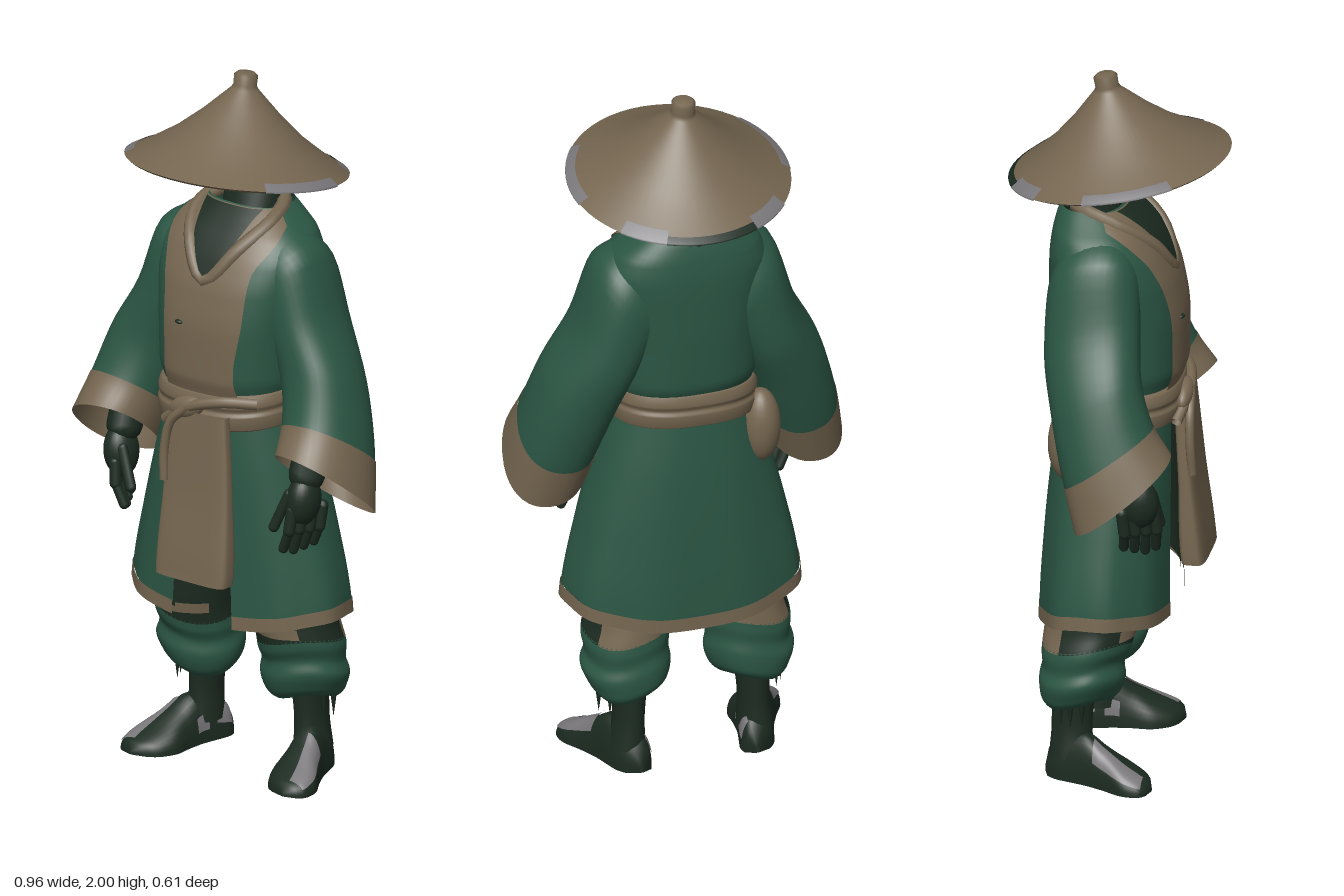
import * as THREE from 'three';
import { ParametricGeometry } from 'three/addons/geometries/ParametricGeometry.js';

const paint = (name, color) => {
  const m = new THREE.MeshStandardMaterial({ color, side: THREE.DoubleSide });
  m.name = name;
  return m;
};
const V = (a) => new THREE.Vector3(...a);
const spow = (s, p) => Math.sign(s) * Math.abs(s) ** p;

// Smoothly interpolates a table of rows keyed by its first column, without overshoot
function pick(rows, k) {
  let i = 0;
  while (i < rows.length - 2 && k > rows[i + 1][0]) i++;
  const h = rows[i + 1][0] - rows[i][0];
  const f = THREE.MathUtils.clamp((k - rows[i][0]) / h, 0, 1);
  const secant = (n, j) => (rows[n + 1][j] - rows[n][j]) / (rows[n + 1][0] - rows[n][0]);
  const slope = (n, j) => {
    if (n === 0) return secant(0, j);
    if (n === rows.length - 1) return secant(n - 1, j);
    const a = secant(n - 1, j), b = secant(n, j);
    return a * b > 0 ? (2 * a * b) / (a + b) : 0;
  };
  return rows[i].map((a, j) => {
    const b = rows[i + 1][j], m = slope(i, j) * h, n = slope(i + 1, j) * h;
    return a + f * (m + f * (3 * (b - a) - 2 * m - n + f * (m + n - 2 * (b - a))));
  });
}

function add(parent, name, geometry, mat, pos = [0, 0, 0]) {
  const mesh = new THREE.Mesh(geometry, mat);
  mesh.name = name;
  mesh.position.set(...pos);
  parent.add(mesh);
  return mesh;
}

const surface = (parent, name, mat, fn, nu = 32, nv = 16) =>
  add(parent, name, new ParametricGeometry((u, v, t) => t.set(...fn(u, v)), nu, nv), mat);

// Stack of ovals, rows of [y, centre x, centre z, half width, half depth]; angle 0 faces front
function loft(parent, name, mat, rows, y0, y1, { a0 = 0, a1 = Math.PI * 2, p = 1, warp = () => [1, 0], nv = 16 } = {}) {
  return surface(parent, name, mat, (u, v) => {
    const a = a0 + (a1 - a0) * u;
    const [y, cx, cz, w, d] = pick(rows, y0 + (y1 - y0) * v);
    const [s, dy] = warp(a, y);
    return [cx + w * s * spow(Math.sin(a), p), y + dy, cz + d * s * spow(Math.cos(a), p)];
  }, 56, nv);
}

const tube = (parent, name, mat, pts, r, closed = false) =>
  add(parent, name, new THREE.TubeGeometry(new THREE.CatmullRomCurve3(pts.map(V), closed), 32, r, 8, closed), mat);

function limb(parent, name, mat, from, to, r) {
  const a = V(from), b = V(to), dir = b.clone().sub(a);
  const mesh = add(parent, name, new THREE.CapsuleGeometry(r, dir.length(), 4, 10), mat);
  mesh.position.copy(a).add(b).multiplyScalar(0.5);
  mesh.quaternion.setFromUnitVectors(new THREE.Vector3(0, 1, 0), dir.normalize());
  return mesh;
}

function ball(parent, name, mat, pos, scale) {
  const mesh = add(parent, name, new THREE.SphereGeometry(1, 24, 16), mat, pos);
  mesh.scale.set(...scale);
  return mesh;
}

export function createModel() {
  const model = new THREE.Group();
  model.name = 'robedTraveller';
  const green = paint('greenCloth', 0x2b5644);
  const tan = paint('tanCloth', 0x756650);
  const dark = paint('darkSkin', 0x1c2b21);
  const grey = paint('paleGrey', 0x7a787b);

  // Upper robe
  const torso = [
    [1.02, 0, 0, 0.19, 0.15], [1.12, 0, 0, 0.195, 0.162], [1.18, 0, -0.003, 0.21, 0.18],
    [1.3, 0, -0.005, 0.215, 0.182], [1.42, 0, -0.015, 0.228, 0.172], [1.5, 0, -0.03, 0.235, 0.155],
    [1.56, 0, -0.045, 0.212, 0.133], [1.61, 0, -0.062, 0.155, 0.104], [1.66, 0, -0.08, 0.09, 0.065],
  ];
  const P = 0.8;
  loft(model, 'upperRobe', green, torso, 1.02, 1.635, { p: P, nv: 40 });

  // Cloth laid on the chest, rows of [y, right edge, left edge]
  const frontZ = (x, y) => {
    const [, , cz, w, d] = pick(torso, y);
    return cz + d * (1 - Math.min(1, Math.abs(x / w)) ** (2 / P)) ** (P / 2);
  };
  const chestPatch = (name, mat, rows, lift) => surface(model, name, mat, (u, v) => {
    const y0 = rows[0][0], y = y0 + (rows.at(-1)[0] - y0) * v;
    const [, l, r] = pick(rows, y), w = pick(torso, y)[3] * 0.97;
    const x = THREE.MathUtils.clamp(l + (r - l) * u, -w, w);
    return [x, y, frontZ(x, y) + lift];
  }, 24, 32);
  chestPatch('frontPanel', tan, [[1.05, -0.12, 0.13], [1.2, -0.12, 0.115], [1.35, -0.125, 0.135],
    [1.48, -0.15, 0.14], [1.57, -0.175, 0.175], [1.635, -0.14, 0.14]], 0.009);
  chestPatch('bareChest', dark, [[1.46, -0.008, 0.008], [1.54, -0.062, 0.062], [1.635, -0.095, 0.095]], 0.015);
  tube(model, 'collar', tan, [[0, 1.448, 0.145], [0.08, 1.54, 0.1], [0.122, 1.605, 0.01], [0.095, 1.635, -0.09],
    [0, 1.64, -0.14], [-0.095, 1.635, -0.09], [-0.122, 1.605, 0.01], [-0.08, 1.54, 0.1]], 0.021, true);
  ball(model, 'chestClasp', dark, [-0.06, 1.325, 0.18], [0.013, 0.006, 0.01]);

  // Skirt, open at the front, with a lining and a hem
  const skirt = [[0.44, 0, -0.022, 0.338, 0.186], [0.5, 0, -0.022, 0.332, 0.185], [0.7, 0, -0.018, 0.292, 0.179],
    [0.9, 0, -0.01, 0.243, 0.17], [1.08, 0, 0, 0.195, 0.155]];
  const open = { a0: 0.26, a1: Math.PI * 2 - 0.26, p: 0.88 };
  const folds = (scale) => (a, y) => {
    const low = THREE.MathUtils.clamp((1.08 - y) / 0.6, 0, 1);
    return [scale * (1 + 0.012 * low * Math.cos(9 * a)), low * (0.045 * Math.sin(a) ** 2 + 0.008 * Math.cos(a))];
  };
  loft(model, 'skirt', green, skirt, 0.482, 1.08, { ...open, warp: folds(1) });
  loft(model, 'skirtHem', tan, skirt, 0.445, 0.484, { ...open, warp: folds(1.008), nv: 4 });
  loft(model, 'skirtLining', dark, skirt, 0.465, 1.08, { ...open, warp: folds(0.965) });

  // Belt, knot, hanging ends and pouch
  const belt = [[1.03, 0, 0, 0.185, 0.15], [1.045, 0, 0, 0.208, 0.178], [1.08, 0, 0, 0.212, 0.184],
    [1.095, 0, 0, 0.207, 0.178], [1.11, 0, 0, 0.211, 0.183], [1.135, 0, 0, 0.206, 0.178], [1.15, 0, 0, 0.185, 0.155]];
  loft(model, 'belt', tan, belt, 1.03, 1.15, { p: P, warp: (a) => [1, 0.01 * Math.sin(a) - 0.01 * Math.cos(a)], nv: 24 });
  const knot = ball(model, 'beltKnot', tan, [-0.03, 1.085, 0.185], [0.06, 0.032, 0.024]);
  knot.rotation.z = 0.35;
  tube(model, 'beltTie', tan, [[-0.02, 1.09, 0.2], [-0.07, 1.04, 0.206], [-0.088, 0.96, 0.21], [-0.085, 0.87, 0.215]], 0.013);
  tube(model, 'beltTwist', tan, [[0.17, 1.12, 0.13], [0.08, 1.12, 0.178], [-0.02, 1.09, 0.195], [-0.11, 1.03, 0.175]], 0.016);
  const sash = [[0.605, 0.018, 0.215, 0.118, 0.035], [0.63, 0.018, 0.212, 0.12, 0.035],
    [0.85, 0.016, 0.195, 0.11, 0.024], [1.08, 0.012, 0.178, 0.092, 0.02]];
  loft(model, 'hangingSash', tan, sash, 0.605, 1.08, { p: 0.45 });
  loft(model, 'sashEnd', tan, [[0.604, 0.018, 0.215, 0.01, 0.004], [0.606, 0.018, 0.215, 0.118, 0.035]], 0.604, 0.606, { p: 0.45, nv: 2 });
  ball(model, 'hipPouch', tan, [-0.2, 0.985, -0.105], [0.055, 0.11, 0.058]);

  // Sleeve rings: [t, centre, outward half axis, forward half axis]
  const sleeve = [
    [0, 0.1, 1.485, -0.035, 0.05, 0.115, 0, 0, 0, 0.1],
    [1, 0.17, 1.425, -0.04, 0.08, 0.11, 0, 0, 0.02, 0.128],
    [2, 0.23, 1.29, -0.035, 0.085, 0.06, 0, 0, 0.03, 0.132],
    [3, 0.295, 1.15, -0.01, 0.105, 0.035, 0.005, -0.01, 0.055, 0.122],
    [4, 0.336, 1.012, 0.03, 0.112, 0.018, 0.014, -0.028, 0.085, 0.118],
    [5, 0.358, 0.915, 0.073, 0.117, -0.002, 0.016, -0.03, 0.105, 0.126],
  ];
  const sleeveLoft = (parent, name, mat, t0, t1, s) => surface(parent, name, mat, (u, v) => {
    const r = pick(sleeve, t0 + (t1 - t0) * v), a = u * Math.PI * 2;
    const c = spow(Math.cos(a), 0.9) * s, n = spow(Math.sin(a), 0.9) * s;
    return [0, 1, 2].map((i) => r[1 + i] + c * r[4 + i] + n * r[7 + i]);
  }, 40, 20);

  // Trouser leg and foot tables
  const leg = [[0.22, 0.175, -0.09, 0.05, 0.05], [0.225, 0.175, -0.085, 0.085, 0.085], [0.255, 0.175, -0.078, 0.112, 0.11],
    [0.3, 0.178, -0.072, 0.125, 0.118], [0.34, 0.175, -0.07, 0.116, 0.112], [0.38, 0.175, -0.062, 0.121, 0.122],
    [0.45, 0.165, -0.052, 0.113, 0.125], [0.62, 0.14, -0.03, 0.115, 0.115]];
  const crease = (a) => [1 + 0.012 * Math.cos(5 * a), 0.014 * Math.sin(2 * a)];
  const foot = [[-0.175, 0.005, 0.02], [-0.165, 0.035, 0.07], [-0.13, 0.05, 0.11], [-0.06, 0.052, 0.135],
    [0, 0.062, 0.1], [0.06, 0.077, 0.065], [0.1, 0.068, 0.045], [0.125, 0.042, 0.03], [0.135, 0.004, 0.008]];
  const footSurface = (parent, name, mat, z0, z1, a0, a1, s) => surface(parent, name, mat, (u, v) => {
    const [z, w, h] = pick(foot, z0 + (z1 - z0) * v), a = a0 + (a1 - a0) * u;
    return [0.19 + (z + 0.1) * 0.3 + s * w * spow(Math.cos(a), 0.8), Math.max(0, s * h * spow(Math.sin(a), 0.8)), z];
  }, 32, 28);

  for (const side of [1, -1]) {
    const half = new THREE.Group();
    half.name = side > 0 ? 'leftLimbs' : 'rightLimbs';
    half.scale.x = side;
    model.add(half);

    // Sleeve with broad cuff
    sleeveLoft(half, 'sleeve', green, 0, 4.05, 1);
    sleeveLoft(half, 'sleeveCuff', tan, 4, 5, 1.015);
    sleeveLoft(half, 'sleeveLining', dark, 3, 4.1, 0.96);

    // Forearm and hand
    limb(half, 'forearm', dark, [0.315, 1.12, 0.03], [0.312, 0.94, 0.095], 0.05);
    const palm = ball(half, 'palm', dark, [0.312, 0.87, 0.11], [0.046, 0.075, 0.054]);
    palm.rotation.z = -0.1;
    for (let i = 0; i < 4; i++) {
      const z = 0.068 + i * 0.027, x = 0.345 - i * 0.014;
      limb(half, 'fingerBase', dark, [x, 0.85, z], [x - 0.006, 0.79, z + 0.006], 0.017);
      limb(half, 'fingerTip', dark, [x - 0.006, 0.79, z + 0.006], [x - 0.03, 0.724 + 0.008 * Math.abs(i - 2), z], 0.014);
    }
    limb(half, 'thumb', dark, [0.285, 0.89, 0.14], [0.245, 0.79, 0.155], 0.015);

    // Trousers, with the dark thigh and tan underwrap above them
    loft(half, 'trouserLeg', green, leg, 0.22, 0.405, { warp: crease, nv: 28 });
    loft(half, 'frontThigh', dark, leg, 0.4, 0.62, { a0: -1.5, a1: 2.1, warp: crease });
    loft(half, 'backThigh', tan, leg, 0.4, 0.62, { a0: 2.1, a1: Math.PI * 2 - 1.5, warp: crease });
    loft(half, 'frontWrap', tan, leg, 0.422, 0.452, { a0: -0.9, a1: 0.7, warp: (a) => [crease(a)[0] * 1.03, 0], nv: 4 });
    for (const [x, z] of [[0.25, -0.06], [0.262, -0.09], [0.24, -0.12]])
      add(half, 'ankleCord', new THREE.ConeGeometry(0.009, 0.07, 6).rotateX(Math.PI), dark, [x, 0.2, z]);

    // Ankle and shoe, with pale patches
    loft(half, 'ankle', dark, [[0.06, 0.185, -0.1, 0.05, 0.062], [0.15, 0.18, -0.1, 0.043, 0.056],
      [0.26, 0.176, -0.095, 0.05, 0.058]], 0.06, 0.26);
    footSurface(half, 'shoe', dark, -0.175, 0.135, 0, Math.PI * 2, 1);
    footSurface(half, 'toePatch', grey, -0.03, 0.112, 0.5, 1.45, 1.05);
    footSurface(half, 'innerHeelPatch', grey, -0.15, -0.095, 2.1, 2.85, 1.06);
    footSurface(half, 'innerSolePatch', grey, -0.07, -0.03, 2.6, 2.95, 1.05);

    // Loose hair beside the face
    for (let i = 0; i < 3; i++)
      limb(half, 'sideHair', dark, [0.09 + i * 0.012, 1.78, -0.08 - i * 0.025], [0.1 + i * 0.008, 1.69 + i * 0.012, -0.075 - i * 0.03], 0.012);
  }

  // Head, neck and hair at the nape
  ball(model, 'head', dark, [0, 1.755, -0.095], [0.098, 0.12, 0.08]);
  loft(model, 'neck', dark, [[1.56, 0, -0.06, 0.088, 0.08], [1.72, 0, -0.1, 0.088, 0.065]], 1.56, 1.72);
  for (let i = 0; i < 7; i++) {
    const x = (i - 3) * 0.024, z = -0.165 + Math.abs(i - 3) * 0.012;
    limb(model, 'napeHair', dark, [x, 1.74, z + 0.01], [x * 1.1, 1.64 - 0.018 * (i % 2), z], 0.013);
  }

  // Broad cone hat, tipped backward
  const hat = new THREE.Group();
  hat.name = 'coneHat';
  hat.position.set(0, 1.745, 0);
  hat.rotation.x = -0.165;
  model.add(hat);
  const lathe = (name, mat, pts, start = 0, length = 360) => add(hat, name, new THREE.LatheGeometry(
    pts.map((q) => new THREE.Vector2(...q)), Math.max(6, Math.round(length / 6)),
    THREE.MathUtils.degToRad(start), THREE.MathUtils.degToRad(length)), mat);
  lathe('hatTop', tan, [[0.308, 0], [0.25, 0.033], [0.18, 0.08], [0.11, 0.14], [0.065, 0.185], [0.038, 0.212],
    [0.032, 0.222], [0.033, 0.25], [0.024, 0.258], [0, 0.259]]);
  lathe('hatLining', dark, [[0.272, 0.009], [0.25, 0.02], [0.18, 0.068], [0.11, 0.128], [0, 0.19]]);
  lathe('hatRim', tan, [[0.308, 0], [0.3, -0.006], [0.271, 0.009]]);
  for (const [start, length, inner] of [[52, 48, 0.283], [130, 25, 0.276], [205, 25, 0.276], [260, 48, 0.283]])
    lathe('hatRimPatch', grey, [[0.309, -0.004], [0.309, 0.002], [inner, 0.003 + (0.308 - inner) * 0.57]], start, length);
  lathe('hatRimBack', dark, [[0.309, -0.004], [0.309, 0.002], [0.291, 0.0125]], 155, 50);

  return model;
}
